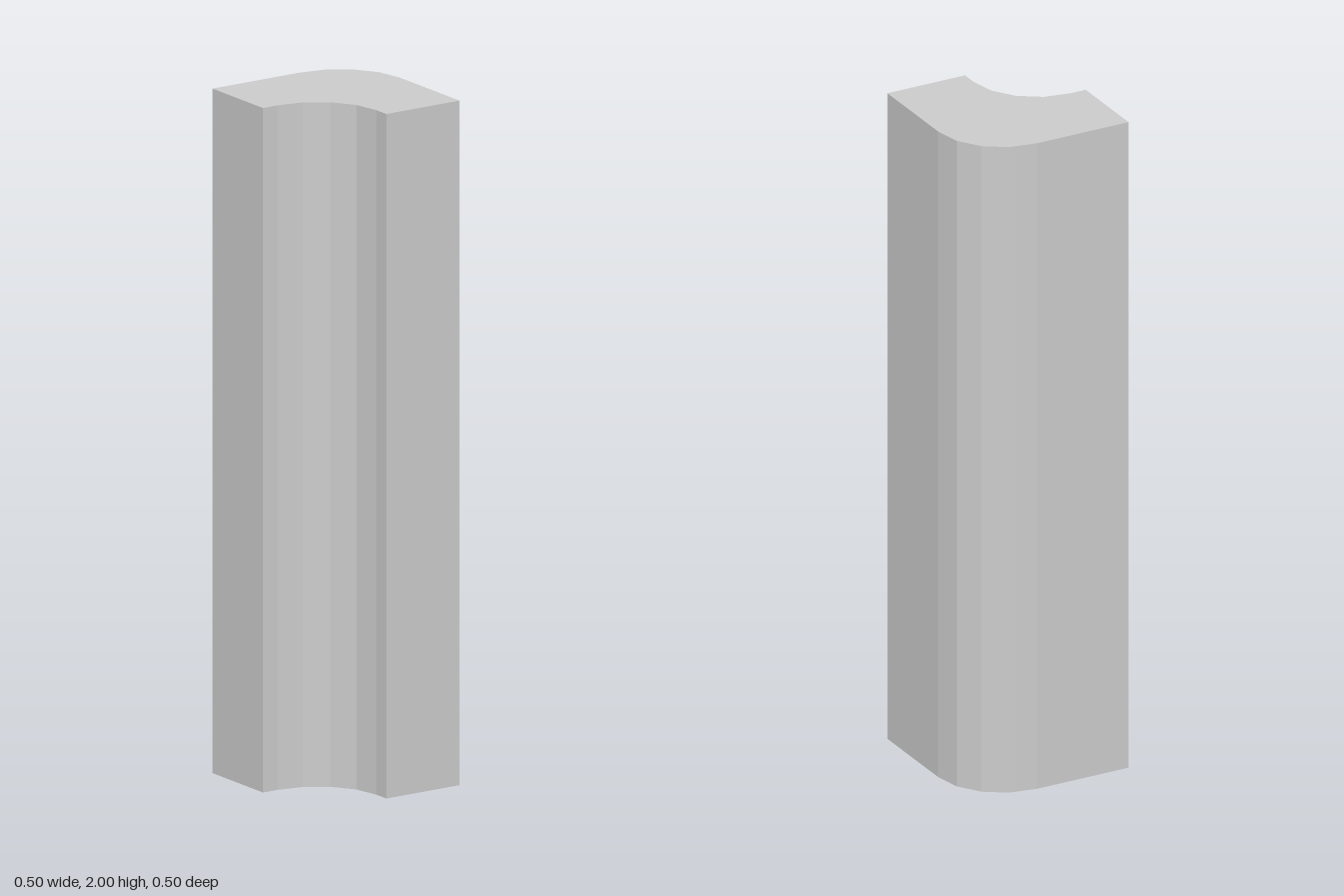
import * as THREE from 'three';

// Quarter-circle corner, sampled in flat facets from angle 90 to 0 degrees
function arc(cx, cy, radius, facets) {
  return Array.from({ length: facets + 1 }, (_, i) => {
    const a = (Math.PI / 2) * (1 - i / facets);
    return new THREE.Vector2(cx + radius * Math.cos(a), cy + radius * Math.sin(a));
  });
}

export function createModel() {
  const group = new THREE.Group();
  group.name = 'cornerTrim';

  // Plan outline: rounded outer corner, concave inner corner (shape y = -z)
  const outer = arc(0.05, 0.05, 0.2, 4);
  outer[0].x = 0.045;
  outer[4].y = 0.045;
  const inner = arc(-0.2, -0.2, 0.2, 4).reverse();
  const outline = new THREE.Shape([
    new THREE.Vector2(-0.25, 0),
    new THREE.Vector2(-0.25, 0.25),
    ...outer,
    new THREE.Vector2(0.25, -0.25),
    new THREE.Vector2(0, -0.25),
    ...inner,
  ]);

  // Extrude the outline upwards
  const geometry = new THREE.ExtrudeGeometry(outline, { depth: 2, bevelEnabled: false });
  geometry.rotateX(-Math.PI / 2);

  const post = new THREE.Mesh(
    geometry,
    new THREE.MeshStandardMaterial({ color: 0xcccccc, flatShading: true })
  );
  post.name = 'cornerPost';
  group.add(post);
  return group;
}
